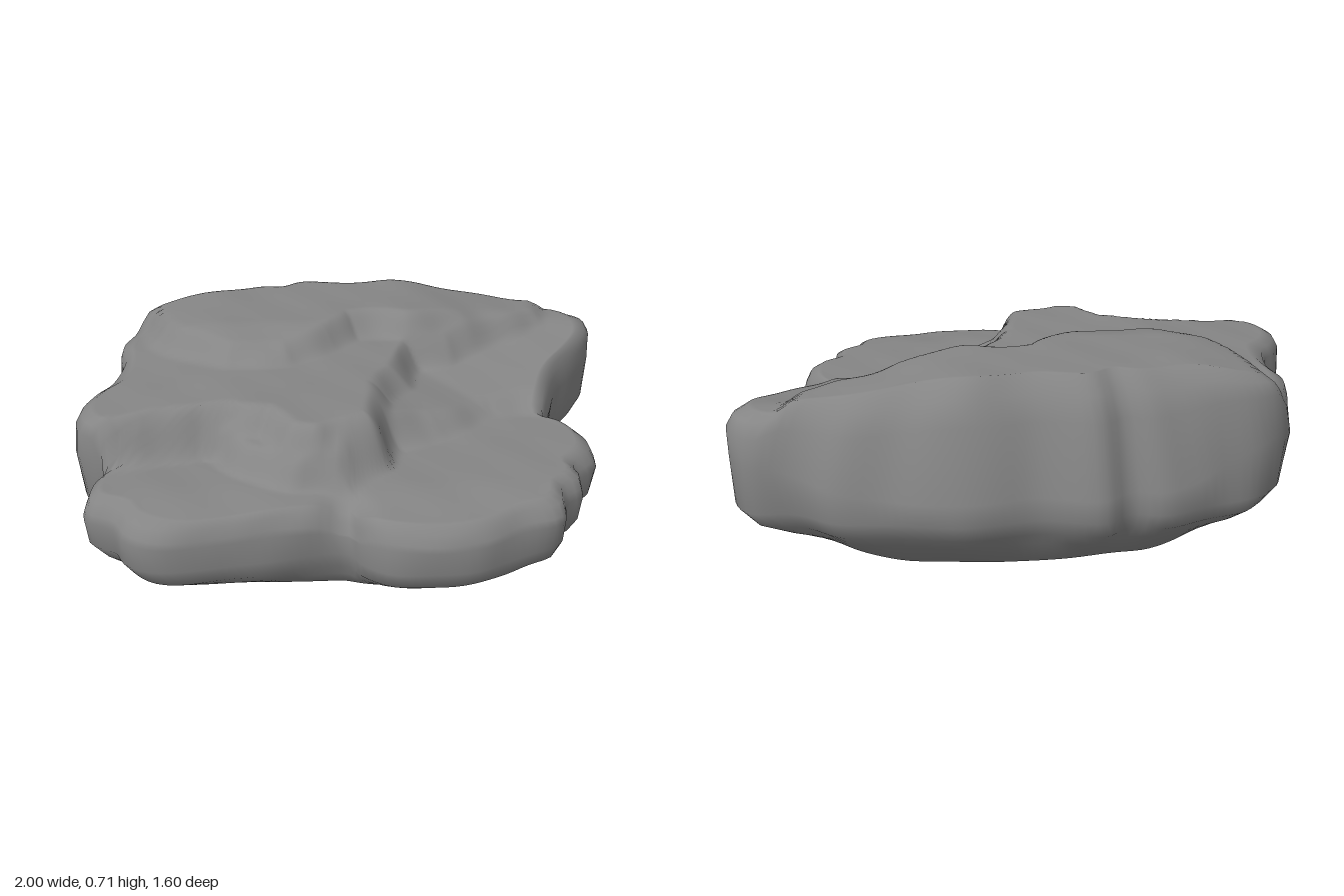
import * as THREE from 'three';

const { lerp, smoothstep, clamp } = THREE.MathUtils;

// plan outline (x, z), running from the front round to the left, back and right
const OUTLINE = [
  [0, 0.72], [0.1, 0.78], [0.25, 0.8], [0.4, 0.78], [0.55, 0.7], [0.69, 0.64], [0.72, 0.54],
  [0.79, 0.48], [0.78, 0.4], [0.86, 0.3], [0.86, 0.18], [0.81, 0.09], [0.74, 0.04], [0.77, -0.1],
  [0.82, -0.22], [0.92, -0.35], [1, -0.48], [1, -0.57], [0.94, -0.67], [0.8, -0.69],
  [0.65, -0.75], [0.45, -0.77], [0.24, -0.8], [0, -0.76], [-0.23, -0.78], [-0.32, -0.72],
  [-0.43, -0.73], [-0.62, -0.65], [-0.77, -0.6], [-0.87, -0.5], [-0.91, -0.35], [-0.89, -0.2],
  [-0.9, 0], [-0.96, 0.08], [-1, 0.2], [-0.97, 0.29], [-0.88, 0.36], [-0.93, 0.46],
  [-0.93, 0.57], [-0.82, 0.63], [-0.78, 0.69], [-0.64, 0.75], [-0.42, 0.72], [-0.3, 0.7],
  [-0.2, 0.68], [-0.08, 0.66], [-0.03, 0.67],
];

// rock ledges: plan polygon, height, and width of the step down
const LEDGES = [
  { // low step in front of the wedge
    poly: [[-0.5, 0.3], [-0.36, 0.42], [-0.2, 0.52], [-0.06, 0.52], [0.06, 0.4], [0.1, 0.2]],
    y: () => 0.53, w: 0.06,
  },
  { // left ledge, tilting down outward and climbing to the back corner
    poly: [[-0.05, 0.45], [0.06, 0.35], [0.1, 0.24], [0.28, 0.17], [0.42, 0.05], [0.5, -0.01],
      [0.62, -0.02], [0.9, -0.02], [1.2, -0.3], [1.1, -1], [0, -1]],
    y: (x, z) => Math.max(0.57 - 0.2 * x, clamp(0.5 - 0.19 * (z + 0.1), 0.44, 0.58)), w: 0.09,
  },
  { // wide middle ledge with the pointed front
    poly: [[-1.2, 0.3], [-0.75, 0.31], [-0.55, 0.28], [-0.3, 0.3], [-0.22, 0.42], [-0.13, 0.45],
      [0.04, 0.36], [0.07, 0.12], [0.17, -0.02], [0.22, -0.24], [0.38, -0.27], [0.5, -0.36],
      [0.75, -0.52], [0.8, -1], [-1.2, -1]],
    y: (x) => 0.62 - 0.04 * smoothstep(-x, 0.4, 1), w: 0.07,
  },
  { // top plateau
    poly: [[-0.82, -0.6], [-0.72, -0.3], [-0.6, -0.17], [-0.45, -0.08], [-0.25, -0.08], [-0.1, -0.2],
      [0, -0.31], [0.22, -0.32], [0.45, -0.38], [0.72, -0.54], [0.8, -1], [-0.82, -1]],
    y: (x, z) => 0.71 - 0.09 * smoothstep(Math.abs(x + 0.15), 0.3, 0.95)
      - 0.03 * smoothstep(z, -0.25, -0.05), w: 0.08,
  },
];

// signed distance to a polygon, positive inside
function inset(poly, x, z) {
  let d = Infinity, inside = false;
  poly.forEach(([ax, az], i) => {
    const [bx, bz] = poly[(i + 1) % poly.length];
    const ex = bx - ax, ez = bz - az;
    const t = clamp(((x - ax) * ex + (z - az) * ez) / (ex * ex + ez * ez), 0, 1);
    d = Math.min(d, Math.hypot(x - ax - t * ex, z - az - t * ez));
    if ((az > z) !== (bz > z) && x < ax + (ex * (z - az)) / ez) inside = !inside;
  });
  return inside ? d : -d;
}

// lumpy variation in space, about -1 to 1
function lumps(x, y, z) {
  return 0.6 * Math.sin(11 * x + 5 * z + 3 * Math.sin(6 * y)) * Math.sin(9 * z - 4 * x + 8 * y)
    + 0.4 * Math.sin(23 * x - 9 * y + 2) * Math.sin(21 * z + 13 * y + 1);
}

function topHeight(x, z) {
  let h = 0.435 - 0.02 * smoothstep(z, 0.5, 0.8);
  const wobble = 0.022 * lumps(x, 0.3, z);
  for (const { poly, y, w } of LEDGES) {
    h = Math.max(h, lerp(h, y(x, z), smoothstep(inset(poly, x, z) + wobble, -w, 0.03)));
  }
  // cleft between the two front lobes
  h -= 0.07 * Math.exp(-(((x + 0.05) / 0.06) ** 2) - ((z - 0.66) / 0.08) ** 2);
  return h + 0.005 * lumps(x, 0, z);
}

function createRockGeometry() {
  const N = 192, TOP = 56;
  const rim = new THREE.CatmullRomCurve3(
    OUTLINE.map(([x, z]) => new THREE.Vector3(x, 0, z)), true, 'centripetal').getSpacedPoints(N);
  // smoothed outline for the underside
  const keel = Array.from({ length: N }, (_, i) => {
    const sum = new THREE.Vector3();
    for (let j = -14; j <= 14; j++) sum.add(rim[(i + j + N) % N]);
    return sum.divideScalar(29);
  });
  const columns = [];
  for (let i = 0; i < N; i++) {
    const p = rim[i], r = Math.hypot(p.x, p.z);
    const back = smoothstep(-p.z / r, 0.48, 0.88);
    const side = smoothstep(Math.abs(p.x) / r, 0.6, 0.95);
    const edge = lerp(0.93, 0.81, back);
    const h = topHeight(p.x * edge, p.z * edge);
    const column = [];
    for (let k = 0; k <= TOP; k++) {
      const x = (p.x * edge * k) / TOP, z = (p.z * edge * k) / TOP;
      column.push([x, topHeight(x, z), z]);
    }
    // scale and height down the flank and under the base
    const mix = (f, b) => lerp(f, b, back);
    const flank = [
      [mix(0.97, 0.875), h - mix(0.02, 0.06)],
      [mix(0.99, 0.925), h - mix(0.06, 0.14)],
      [1, mix(lerp(h, 0.24, 0.45), 0.33)],
      [mix(1 - 0.015 * side, 1), 0.25],
      [mix(0.975 - 0.035 * side, 0.97), 0.19],
      [mix(0.91, 0.92), 0.14],
      [mix(0.85, 0.86), mix(0.1, 0.055)],
      [0.74, mix(0.08, 0.045)], [0.62, mix(0.062, 0.038)], [0.48, 0.03],
      [0.36, 0.022], [0.24, 0.015], [0.12, 0.008], [0, 0],
    ];
    for (const [s, y] of flank) {
      const under = 1 - smoothstep(y, 0.05, 0.19);
      const q = p.clone().lerp(keel[i], under).multiplyScalar(s);
      // chipped faces, fading out toward the middle of the base
      const chip = smoothstep(s, 0.4, 0.85) * lumps(q.x, y, q.z);
      q.multiplyScalar(1 + 0.014 * (chip - 0.2));
      column.push([q.x, y + 0.01 * chip * under, q.z]);
    }
    columns.push(column);
  }

  const M = columns[0].length, index = [];
  for (let i = 0; i < N; i++) {
    const a = i * M, b = ((i + 1) % N) * M;
    for (let k = 0; k < M - 1; k++) {
      if (k < M - 2) index.push(a + k, a + k + 1, b + k + 1);
      else index.push(a + k, a + k + 1, b + k);
      if (k > 0 && k < M - 2) index.push(a + k, b + k + 1, b + k);
    }
  }
  const geometry = new THREE.BufferGeometry();
  geometry.setAttribute('position', new THREE.Float32BufferAttribute(columns.flat(2), 3));
  geometry.setIndex(index);
  geometry.computeVertexNormals();
  return geometry;
}

export function createModel() {
  const group = new THREE.Group();
  group.name = 'layeredRock';
  const rock = new THREE.Mesh(createRockGeometry(), new THREE.MeshStandardMaterial({ color: 0x858585 }));
  rock.name = 'rock';
  group.add(rock);
  return group;
}
